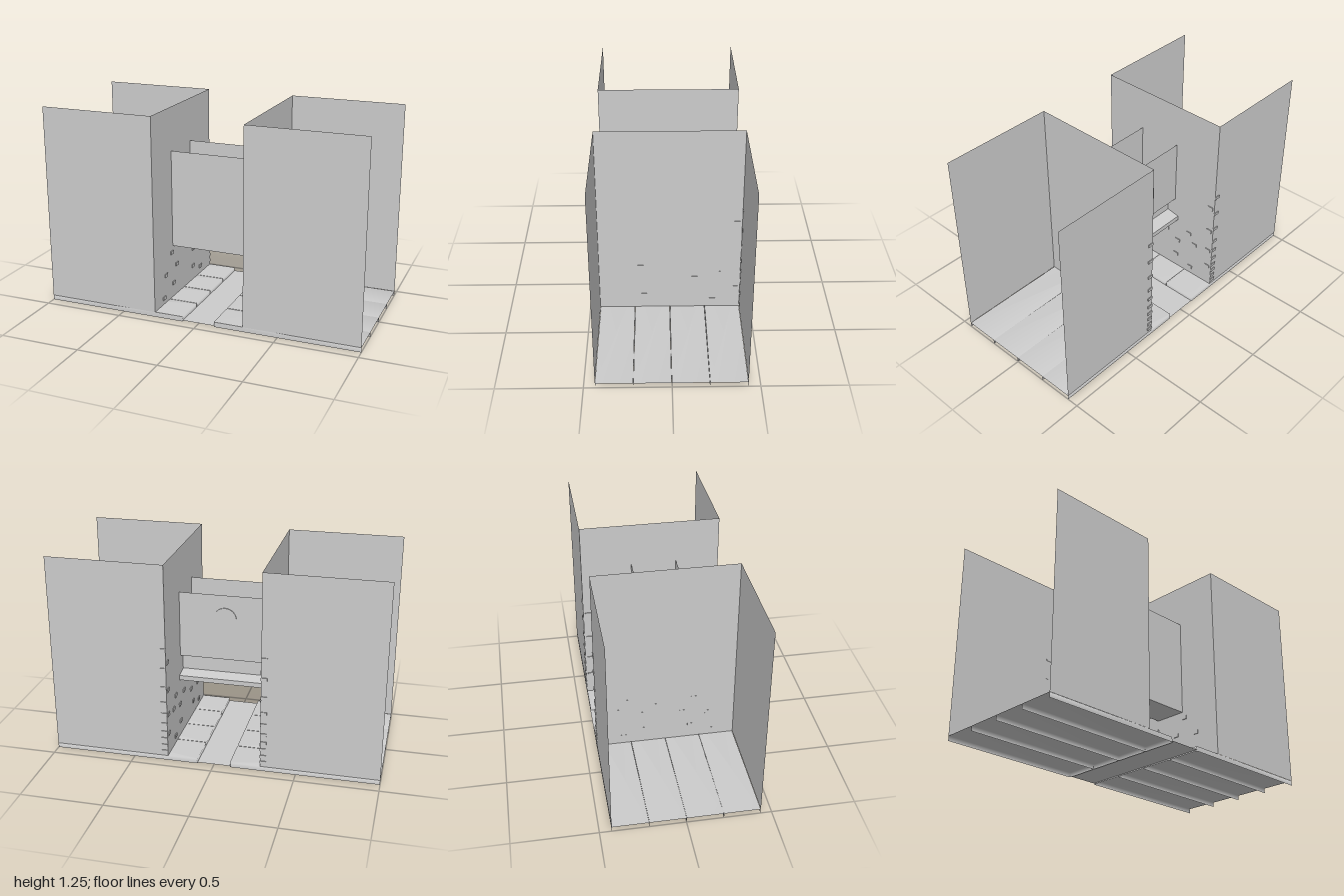
import * as THREE from 'three';

const grey = new THREE.MeshStandardMaterial({ color: 0xcccccc, side: THREE.DoubleSide });

function add(parent, name, geometry) {
  const mesh = new THREE.Mesh(geometry, grey);
  mesh.name = name;
  parent.add(mesh);
  return mesh;
}

// Open folded sheet: sweeps a polyline between two levels, with sharp folds
function foldedSheet(points, from, to, place) {
  const pos = [];
  for (let i = 0; i < points.length - 1; i++) {
    const [a, b] = [points[i], points[i + 1]];
    const p = place(a, from), q = place(a, to), r = place(b, to), s = place(b, from);
    pos.push(...p, ...q, ...r, ...p, ...r, ...s);
  }
  const g = new THREE.BufferGeometry();
  g.setAttribute('position', new THREE.Float32BufferAttribute(pos, 3));
  g.computeVertexNormals();
  return g;
}

// Floor slat: top sheet with lips on three sides, open at the outer end, smooth normals
function slatGeometry(zFront, zBack) {
  const b = 0.006, x = 0.1, h = 0.03;
  const path = [[1, zFront], [x + b, zFront], [x, zFront - b], [x, zBack + b], [x + b, zBack], [1, zBack]];
  const n = path.length, pos = [], index = [];
  for (const y of [0, h]) for (const [px, pz] of path) pos.push(px, y, pz);
  for (let i = 0; i < n - 1; i++) {
    index.push(i, n + i, n + i + 1, i, n + i + 1, i + 1);
    if (i > 0) index.push(n, n + i + 1, n + i);
  }
  const g = new THREE.BufferGeometry();
  g.setAttribute('position', new THREE.Float32BufferAttribute(pos, 3));
  g.setIndex(index);
  g.computeVertexNormals();
  return g;
}

export function createModel() {
  const model = new THREE.Group();
  const front = 0.435, back = -0.43, inner = 0.285;

  // Raised stones on the inner walls [z, y] and up the back corners [y]
  const wallStones = [
    [0.30, 0.07], [0.27, 0.21], [0.18, 0.33], [0.16, 0.12], [0.11, 0.23],
    [-0.055, 0.30], [-0.14, 0.125], [-0.15, 0.245], [-0.26, 0.08],
    [-0.24, 0.35], [-0.29, 0.28], [-0.40, 0.64], [-0.40, 0.46], [-0.40, 0.30], [-0.40, 0.17],
  ];
  const cornerStones = [0.06, 0.10, 0.145, 0.19, 0.245, 0.31, 0.385, 0.485, 0.605, 0.73];

  for (const side of [1, -1]) {
    const half = new THREE.Group();
    half.name = side > 0 ? 'leftHalf' : 'rightHalf';
    half.scale.x = side;
    model.add(half);

    // Front, inner and back wall of one block, open on the outside
    const plan = [[1, front], [inner, front], [inner, back], [1, back]];
    add(half, 'blockWalls', foldedSheet(plan, 0.03, 1.25, ([x, z], y) => [x, y, z]));

    // Four floor slats
    const step = (front - back) / 4;
    for (let i = 0; i < 4; i++) {
      const z = front - i * step;
      add(half, 'floorSlat', slatGeometry(z - 0.001, z - step + 0.001));
    }

    for (const [z, y] of wallStones) {
      add(half, 'wallStone', new THREE.BoxGeometry(0.007, 0.022, 0.036)).position.set(inner - 0.002, y, z);
    }
    for (const y of cornerStones) {
      add(half, 'cornerStone', new THREE.BoxGeometry(0.038, 0.018, 0.007)).position.set(inner + 0.018, y, back - 0.002);
    }
  }

  // Path between the slats
  const path = add(model, 'path', new THREE.PlaneGeometry(0.2, front - back));
  path.rotation.x = -Math.PI / 2;
  path.position.set(0, 0.008, (front + back) / 2);

  // Bridge between the blocks: front panel, underside, back ledge and back panel
  const profile = [
    [0.165, 0.98], [0.165, 0.37], [-0.04, 0.37], [-0.04, 0.41], [-0.145, 0.41],
    [-0.145, 0.44], [-0.06, 0.455], [-0.06, 0.55], [-0.117, 0.565], [-0.117, 0.98],
  ];
  add(model, 'bridge', foldedSheet(profile, -inner, inner, ([z, y], x) => [x, y, z]));

  // Arched window on the back of the bridge
  const arch = new THREE.Shape();
  arch.moveTo(-0.07, 0.62);
  arch.lineTo(0.07, 0.62);
  arch.lineTo(0.07, 0.83);
  arch.absarc(0, 0.83, 0.07, 0, Math.PI, false);
  arch.closePath();
  const windowGeometry = new THREE.ExtrudeGeometry(arch, { depth: 0.007, bevelEnabled: false, curveSegments: 8 });
  add(model, 'archedWindow', windowGeometry).position.z = -0.123;

  return model;
}
